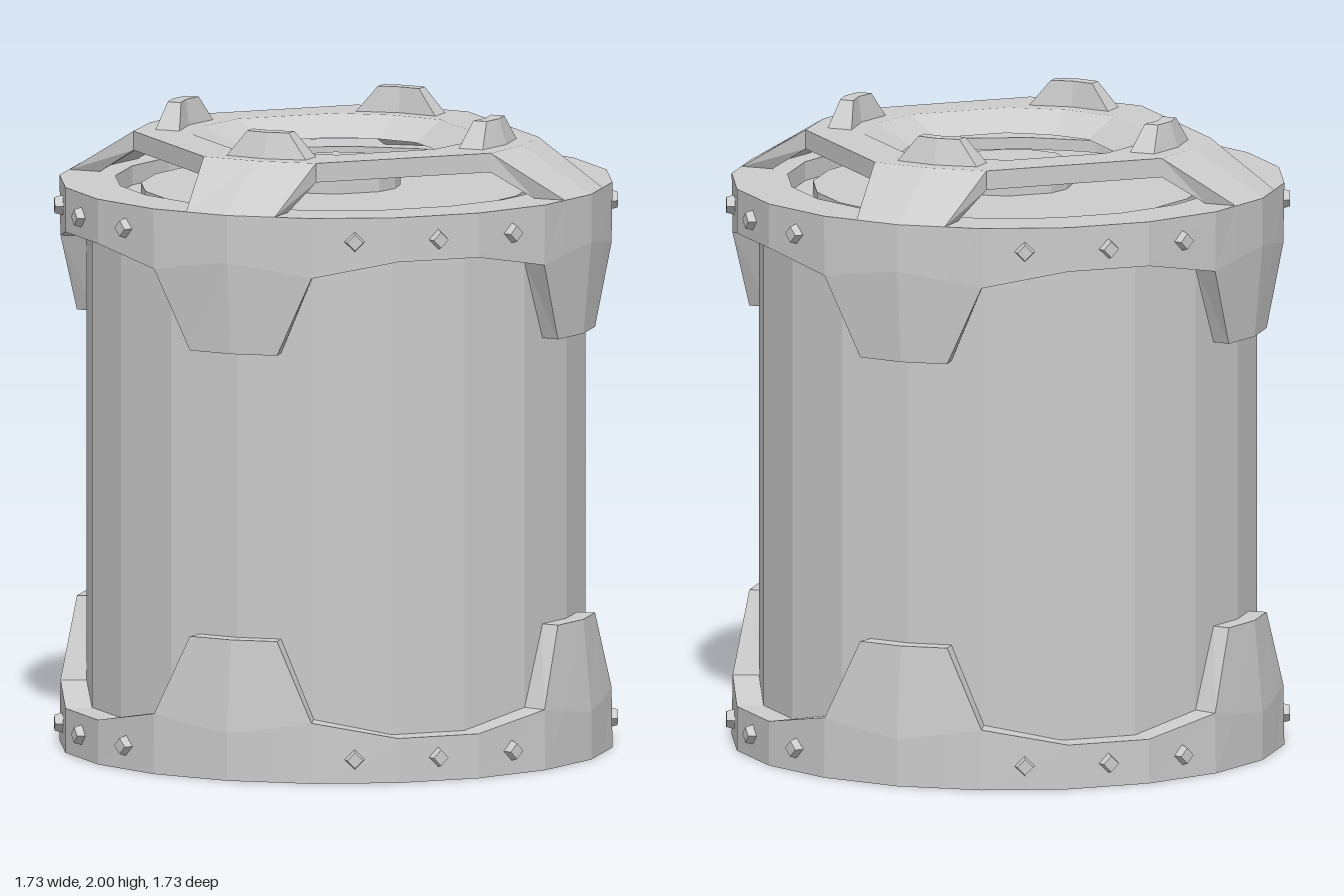
import * as THREE from 'three';

const grey = new THREE.MeshStandardMaterial({ color: 0xcccccc, flatShading: true });
const greyDouble = new THREE.MeshStandardMaterial({ color: 0xcccccc, flatShading: true, side: THREE.DoubleSide });
const SIDES = 20, STEP = Math.PI * 2 / SIDES;
const LID_Y = 1.78;
const v = (x, y, z) => new THREE.Vector3(x, y, z);

// Skin a series of closed loops with flat faces
function loft(rows) {
  const pos = [], tri = new THREE.Triangle();
  const add = (a, b, c) => {
    if (tri.set(a, b, c).getArea() > 1e-7) for (const p of [a, b, c]) pos.push(p.x, p.y, p.z);
  };
  for (let i = 0; i < rows.length - 1; i++) {
    const a = rows[i], b = rows[i + 1], n = a.length;
    for (let j = 0; j < n; j++) {
      const k = (j + 1) % n;
      add(a[j], a[k], b[k]);
      add(a[j], b[k], b[j]);
    }
  }
  const g = new THREE.BufferGeometry();
  g.setAttribute('position', new THREE.Float32BufferAttribute(pos, 3));
  g.computeVertexNormals();
  return g;
}

function mesh(name, geometry, material = grey) {
  const m = new THREE.Mesh(geometry, material);
  m.name = name;
  return m;
}

// Point on the 20-sided outline; u counts sides from +z towards +x
function onOutline(u, r, y) {
  const i = Math.floor(u), t = u - i;
  const at = k => v(r * Math.sin(k * STEP), y, r * Math.cos(k * STEP));
  return at(i).lerp(at(i + 1), t);
}

// Reinforcing band with four tapered tabs; each column is [u, shoulder, top, top radius]
function bandGeometry() {
  const quarter = [
    [0, 0.15, 0.44, 0.838], [0.57, 0.17, 0.44, 0.838], [1, 0.19, 0.19, 0.862],
    [2, 0.14, 0.14, 0.865], [3, 0.14, 0.14, 0.865],
    [4, 0.19, 0.19, 0.862], [4.43, 0.17, 0.44, 0.838],
  ];
  const cols = [];
  for (let q = 0; q < 4; q++) for (const [u, s, t, r] of quarter) cols.push([u + q * 5, s, t, r]);
  return loft([
    cols.map(c => onOutline(c[0], 0.78, 0)),
    cols.map(c => onOutline(c[0], 0.865, 0)),
    cols.map(c => onOutline(c[0], c[1] === c[2] ? c[3] : 0.865, c[1])),
    cols.map(c => onOutline(c[0], c[3], c[2])),
    cols.map(c => onOutline(c[0], 0.78, c[2])),
  ]);
}

// Twelve-point loop: a centre point and two corners repeated on four sides
function crossLoop(mid, half, out, y) {
  const loop = [];
  for (let q = 0; q < 4; q++) {
    for (const [x, z] of [[0, mid], [half, out], [out, half]]) {
      loop.push(v(x, y, z).applyAxisAngle(v(0, 1, 0), q * Math.PI / 2));
    }
  }
  return loop;
}

// Six-point loop with a bent outer and inner edge
function bentLoop(half, outY, outEnd, outMid, inY, inEnd, inMid) {
  return [
    v(-half, outY, outEnd), v(0, outY, outMid), v(half, outY, outEnd),
    v(half, inY, inEnd), v(0, inY, inMid), v(-half, inY, inEnd),
  ];
}

export function createModel() {
  const model = new THREE.Group();
  model.name = 'canister';

  // Open-bottomed barrel
  const body = mesh('body', new THREE.CylinderGeometry(0.78, 0.78, LID_Y, SIDES, 1, true), greyDouble);
  body.position.y = LID_Y / 2;
  model.add(body);

  // Lower and upper bands with rivets at the face centres between tabs
  const bandGeo = bandGeometry();
  const rivetGeo = new THREE.CylinderGeometry(0.025, 0.034, 0.035, 4).rotateX(Math.PI / 2);
  for (const upper of [false, true]) {
    const band = new THREE.Group();
    band.name = upper ? 'upperBand' : 'lowerBand';
    band.add(mesh('bandRing', bandGeo));
    for (let q = 0; q < 4; q++) {
      for (const side of [1.5, 2.5, 3.5]) {
        const a = (q * 5 + side) * STEP;
        const rivet = mesh('rivet', rivetGeo);
        rivet.position.set(0.862 * Math.sin(a), 0.075, 0.862 * Math.cos(a));
        rivet.rotation.y = a;
        band.add(rivet);
      }
    }
    if (upper) {
      band.rotation.x = Math.PI;
      band.position.y = LID_Y;
    }
    model.add(band);
  }

  // Lid with a groove inside its rim
  const lidProfile = [[0.78, 1.78], [0.69, 1.78], [0.69, 1.72], [0.61, 1.72], [0.61, 1.76], [0, 1.76]];
  model.add(mesh('lid', new THREE.LatheGeometry(lidProfile.map(p => new THREE.Vector2(...p)), SIDES), greyDouble));

  // Central boss
  model.add(mesh('centreBoss', loft([
    crossLoop(0.2, 0.082, 0.183, 1.75),
    crossLoop(0.2, 0.082, 0.183, 1.835),
    crossLoop(0, 0, 0, 1.835),
  ])));

  // Raised plate with a funnel-shaped opening
  const plateBase = crossLoop(0.63, 0.19, 0.605, 1.86);
  model.add(mesh('raisedPlate', loft([
    plateBase,
    crossLoop(0.63, 0.19, 0.605, 1.92),
    crossLoop(0.445, 0.18, 0.41, 1.92),
    crossLoop(0.33, 0.14, 0.305, 1.86),
    plateBase,
  ])));

  // Sloping legs and small lugs on four sides
  const legGeo = loft([
    bentLoop(0.15, 1.78, 0.838, 0.862, 1.78, 0.735, 0.76),
    bentLoop(0.19, 1.92, 0.605, 0.63, 1.86, 0.605, 0.63),
  ]);
  const lugGeo = loft([
    bentLoop(0.138, 1.915, 0.555, 0.578, 1.915, 0.472, 0.497),
    bentLoop(0.07, 2, 0.54, 0.553, 2, 0.495, 0.508),
    bentLoop(0.07, 2, 0.5175, 0.5305, 2, 0.5175, 0.5305),
  ]);
  for (let q = 0; q < 4; q++) {
    const leg = mesh('plateLeg', legGeo), lug = mesh('lug', lugGeo);
    leg.rotation.y = lug.rotation.y = q * Math.PI / 2;
    model.add(leg, lug);
  }
  return model;
}
